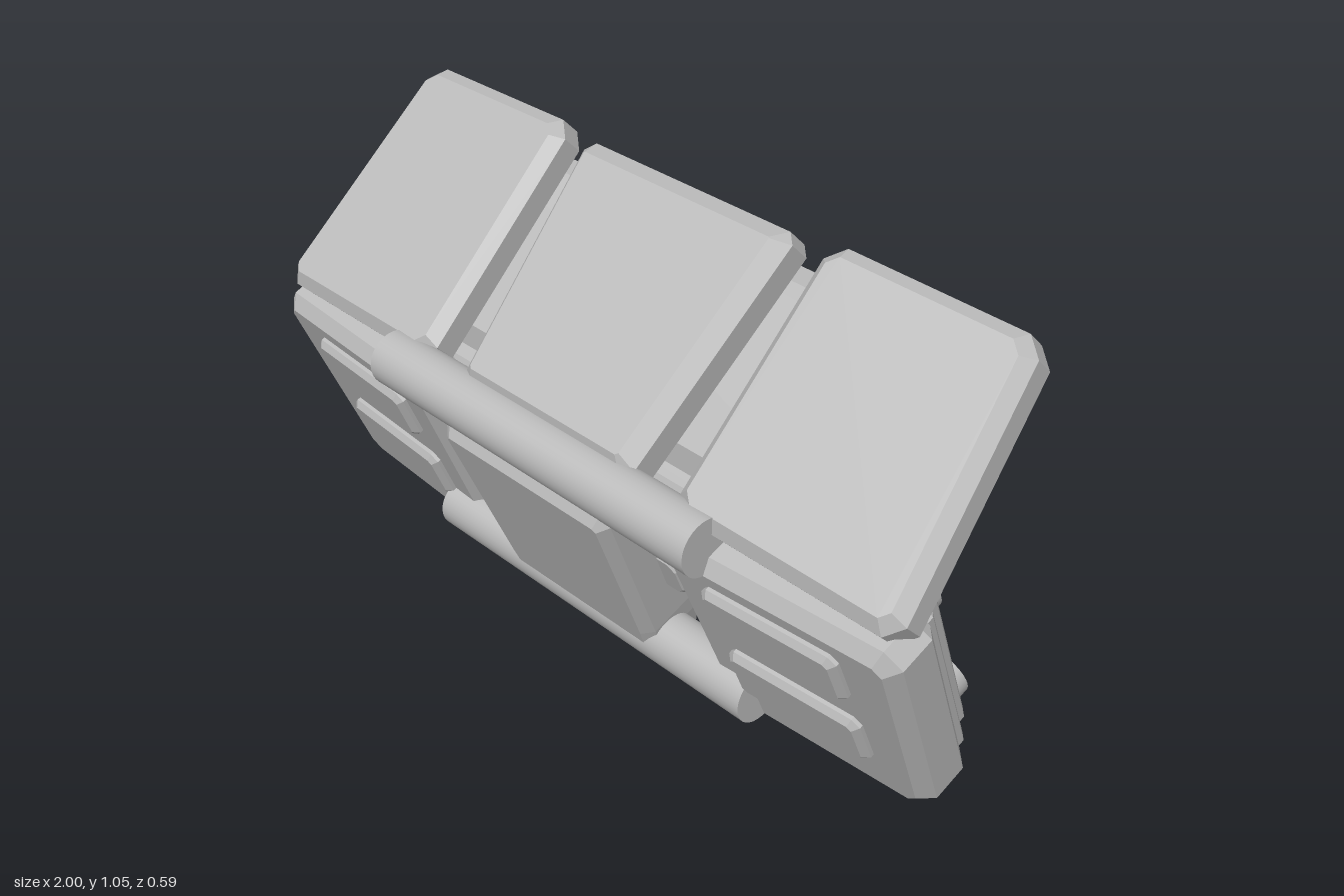
import * as THREE from 'three';

const grey = new THREE.MeshStandardMaterial({ color: 0xbababa });
grey.name = 'grey plastic';

// Outline with every corner cut off by c
function cutShape(pts, c) {
  const shape = new THREE.Shape();
  pts.forEach(([x, y], i) => {
    const p = new THREE.Vector2(x, y);
    const prev = new THREE.Vector2(...pts[(i + pts.length - 1) % pts.length]);
    const next = new THREE.Vector2(...pts[(i + 1) % pts.length]);
    const a = p.clone().add(prev.sub(p).setLength(c));
    const b = p.clone().add(next.sub(p).setLength(c));
    if (i === 0) shape.moveTo(a.x, a.y); else shape.lineTo(a.x, a.y);
    shape.lineTo(b.x, b.y);
  });
  shape.closePath();
  return shape;
}

// Bevelled plate between depths z0 and z1; sweep leans the outer end backwards
function plate(parent, name, pts, z0, z1, { cut = 0.03, bevel = 0.025, sweep = 0 } = {}) {
  let geo = new THREE.ExtrudeGeometry(cutShape(pts, cut), {
    depth: z1 - z0 - 2 * bevel, bevelEnabled: true, bevelThickness: bevel,
    bevelSize: bevel, bevelOffset: -bevel, bevelSegments: 1,
  });
  geo.translate(0, 0, z0 + bevel);
  const p = geo.attributes.position;
  for (let i = 0; i < p.count; i++) p.setZ(i, p.getZ(i) - sweep * (Math.abs(p.getX(i)) - 0.4));
  geo.computeVertexNormals();
  const mesh = new THREE.Mesh(geo, grey);
  mesh.name = name;
  parent.add(mesh);
  return mesh;
}

// Four corners from bottom and top x ranges
const quad = (y0, y1, a0, b0, a1 = a0, b1 = b0) => [[a0, y0], [b0, y0], [b1, y1], [a1, y1]];
const sided = (s, pts) => pts.map(([x, y]) => [s * x, y]);

function rod(parent, name, r, length, axis, x, y, z) {
  const geo = new THREE.CylinderGeometry(r, r, length, 32);
  if (axis === 'x') geo.rotateZ(Math.PI / 2); else geo.rotateX(Math.PI / 2);
  const mesh = new THREE.Mesh(geo, grey);
  mesh.name = name;
  mesh.position.set(x, y, z);
  parent.add(mesh);
}

export function createModel() {
  const model = new THREE.Group();
  model.name = 'hingedArmour';

  // Lower half, leaning forward at its top
  const lower = new THREE.Group();
  lower.name = 'lowerHalf';
  lower.rotation.x = 0.405;
  model.add(lower);

  plate(lower, 'lowerCentrePlate',
    [[-0.22, 0.03], [0.22, 0.03], [0.245, 0.14], [0.275, 0.6], [-0.275, 0.6], [-0.245, 0.14]],
    -0.09, 0.078, { cut: 0.025, bevel: 0.025 });
  plate(lower, 'lowerBacking', quad(0.01, 0.57, -0.93, 0.93, -0.96, 0.96), -0.175, -0.1, { cut: 0.04, bevel: 0.012 });
  plate(lower, 'lowerInnerPanel', quad(0.02, 0.55, -0.9, 0.9, -0.93, 0.93), -0.22, -0.15, { cut: 0.04, bevel: 0.015 });
  plate(lower, 'backBox', quad(0.015, 0.54, -0.42, 0.42), -0.285, -0.1, { cut: 0.03, bevel: 0.025 });
  plate(lower, 'crossBlock', quad(0.25, 0.39, -0.33, 0.33), -0.12, -0.02, { cut: 0.03, bevel: 0.02 });

  for (const s of [-1, 1]) {
    plate(lower, 'lowerSidePanel', sided(s, quad(0, 0.585, 0.4, 0.965, 0.39, 1.0)), -0.115, 0.032, { cut: 0.04, bevel: 0.03, sweep: 0.05 });
    for (const y of [0.14, 0.37]) {
      plate(lower, 'frontButton', sided(s, quad(y, y + 0.15, 0.5, 0.855)), 0.0, 0.055, { cut: 0.018, bevel: 0.014, sweep: 0.05 });
    }
    plate(lower, 'innerTab', sided(s, quad(0.18, 0.38, 0.355, 0.42)), -0.1, -0.01, { cut: 0.015, bevel: 0.015 });
    for (const y of [0.12, 0.44]) rod(lower, 'cornerDisc', 0.068, 0.05, 'z', s * 0.82, y, -0.225);

    // Tapered block reaching outwards from the back box
    const block = plate(lower, 'backSideBlock', sided(s, quad(0.16, 0.33, 0.38, 0.83)), -0.283, -0.19, { cut: 0.012, bevel: 0.012 });
    const p = block.geometry.attributes.position;
    for (let i = 0; i < p.count; i++) {
      if (p.getZ(i) < -0.24) p.setY(i, 0.235 + (p.getY(i) - 0.245) * 0.55);
    }
    block.geometry.computeVertexNormals();
  }

  // Wedge flap standing off the back box, profile in depth and height
  const flap = new THREE.Shape([[-0.255, 0.36], [-0.388, 0.575], [-0.37, 0.58], [-0.25, 0.5]]
    .map(([z, y]) => new THREE.Vector2(-z, y)));
  const flapGeo = new THREE.ExtrudeGeometry(flap, { depth: 0.66, bevelEnabled: false });
  flapGeo.translate(0, 0, -0.33).rotateY(Math.PI / 2);
  const flapMesh = new THREE.Mesh(flapGeo, grey);
  flapMesh.name = 'backFlap';
  lower.add(flapMesh);

  // Upper half, leaning backward at its top
  const upper = new THREE.Group();
  upper.name = 'upperHalf';
  upper.rotation.x = -Math.PI / 4;
  model.add(upper);

  plate(upper, 'upperCentrePlate', quad(0.265, 0.885, -0.275, 0.275, -0.325, 0.325), 0.49, 0.625, { cut: 0.025, bevel: 0.035 });
  plate(upper, 'upperBackPanel', quad(0.345, 0.85, -0.87, 0.87, -0.8, 0.8), 0.412, 0.52, { cut: 0.07, bevel: 0.045 });
  for (const s of [-1, 1]) {
    plate(upper, 'upperSidePanel', sided(s, quad(0.262, 0.905, 0.4, 0.99, 0.4, 0.93)), 0.492, 0.608, { cut: 0.04, bevel: 0.028, sweep: 0.05 });
  }

  // Hinge rods
  rod(model, 'upperHingeRod', 0.068, 1.03, 'x', 0, 0.567, 0.237);
  rod(model, 'lowerHingeRod', 0.066, 1.03, 'x', 0, 0.078, 0.057);

  return model;
}
